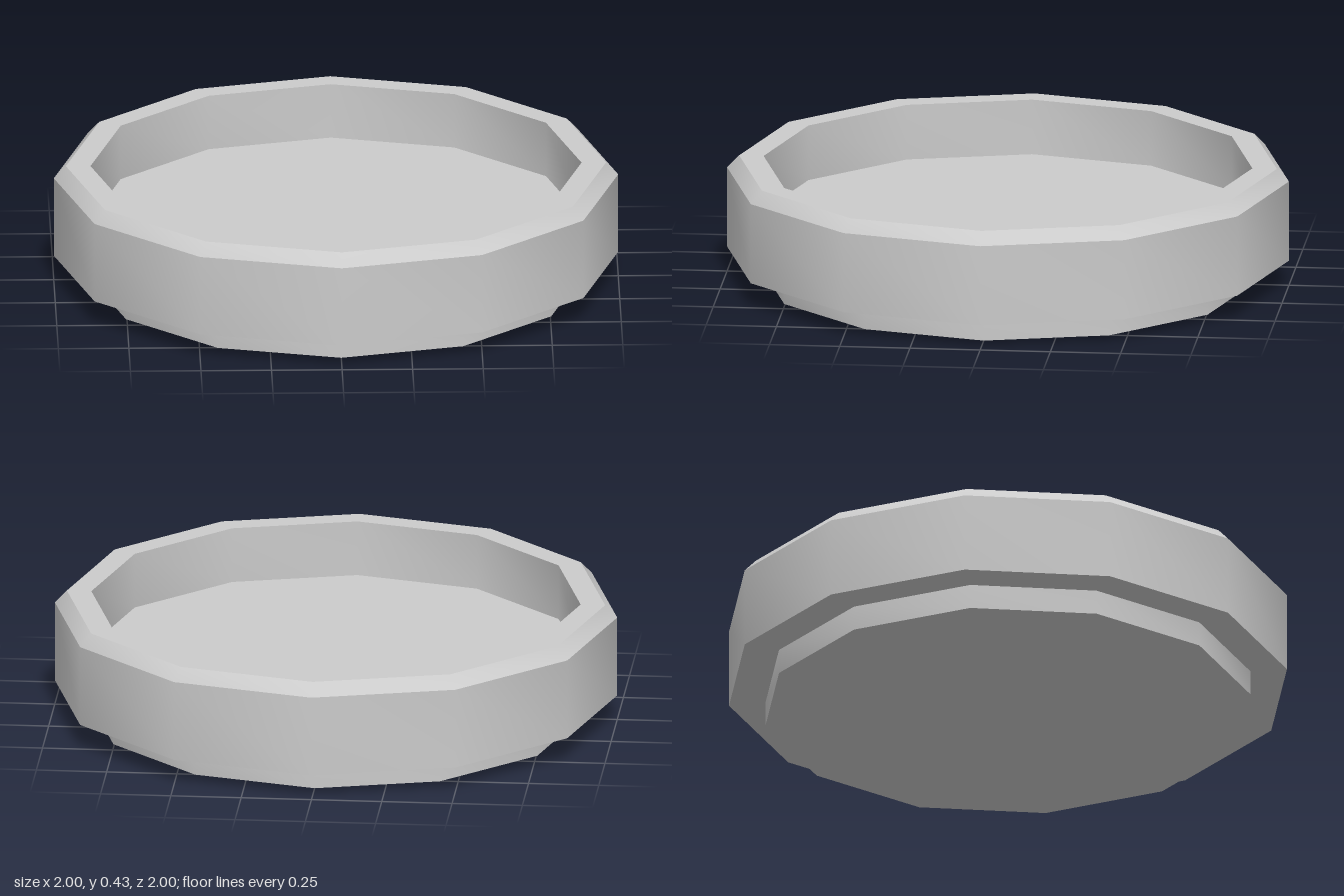
import * as THREE from 'three';
import { toCreasedNormals } from 'three/addons/utils/BufferGeometryUtils.js';

const SIDES = 12;
const INNER = 0.87; // radius of the foot and of the recess
const FOOT_TOP = 0.09;
const FLOOR_Y = 0.225;
const TOP = 0.425;

const material = new THREE.MeshStandardMaterial({ color: 0xcccccc });

// Twelve-sided turned part: smooth around the axis, sharp along the profile
function turned(name, profile) {
  const points = profile.map(([r, y]) => new THREE.Vector2(r, y));
  const geometry = toCreasedNormals(new THREE.LatheGeometry(points, SIDES), 0.6);
  const mesh = new THREE.Mesh(geometry, material);
  mesh.name = name;
  return mesh;
}

export function createModel() {
  const model = new THREE.Group();
  model.name = 'shallowDish';

  // Inset foot with a closed underside
  model.add(turned('foot', [[0, 0], [INNER, 0], [INNER, FOOT_TOP]]));

  // Thick outer wall: underside ledge, side, bevel, flat lip, inner wall
  model.add(turned('rim', [
    [INNER, FOOT_TOP], [1, FOOT_TOP], [1, 0.38], [0.957, TOP],
    [INNER, TOP], [INNER, FLOOR_Y],
  ]));

  // Flat floor of the recess
  model.add(turned('floor', [[INNER, FLOOR_Y], [0, FLOOR_Y]]));

  return model;
}
